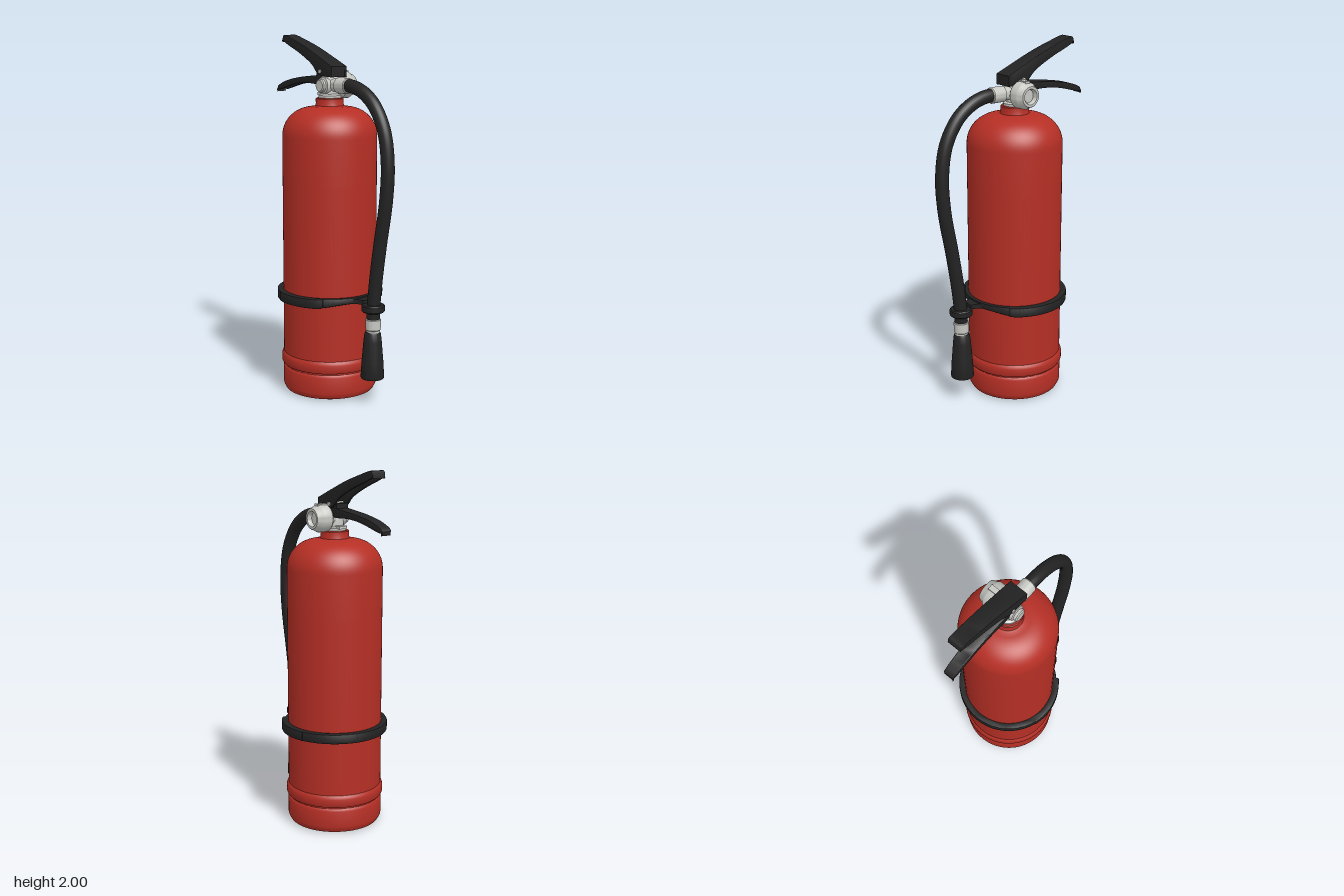
import * as THREE from 'three';
import { mergeGeometries, toCreasedNormals } from 'three/addons/utils/BufferGeometryUtils.js';

const AXIS_Z = -0.035; // bottle axis
const VALVE_Y = 1.73;
const V = (x, y) => new THREE.Vector2(x, y);

const mat = (name, color) => {
  const m = new THREE.MeshStandardMaterial({ color });
  m.name = name;
  return m;
};

// Revolved solid from [radius, height] pairs, bottom to top
const lathe = (pairs, seg = 48) =>
  toCreasedNormals(new THREE.LatheGeometry(pairs.map(([r, y]) => V(r, y)), seg), 0.6);

// Side profile given as [z, y], extruded across x from x0 to x1
function sideSlab(points, x0, x1, bevel = 0) {
  const g = new THREE.ExtrudeGeometry(new THREE.Shape(points), {
    depth: x1 - x0 - 2 * bevel, bevelEnabled: bevel > 0, bevelSize: bevel,
    bevelThickness: bevel, bevelOffset: -bevel, bevelSegments: 2,
  });
  return g.translate(0, 0, -x1 + bevel).rotateY(-Math.PI / 2);
}

// Hollow lever, open below: a curved top plate and two side walls, tapering to the tip
function lever(top, bottom, half, tipHalf, plate) {
  const curve = (p) => new THREE.SplineCurve(p.map(([z, y]) => V(z, y))).getPoints(20);
  const t = curve(top), b = curve(bottom);
  const outline = [...t, ...b];
  const plateOutline = [...t, ...t.map((p) => V(p.x, p.y - plate)).reverse()];
  const g = mergeGeometries([
    sideSlab(plateOutline, -half, half, 0.005),
    sideSlab(outline, -half, -half + 0.014, 0.003),
    sideSlab(outline, half - 0.014, half, 0.003),
  ]);
  const z0 = top[0][0], z1 = top[top.length - 1][0], p = g.attributes.position;
  for (let i = 0; i < p.count; i++) {
    const k = THREE.MathUtils.clamp((p.getZ(i) - z0) / (z1 - z0), 0, 1);
    p.setX(i, p.getX(i) * THREE.MathUtils.lerp(1, tipHalf / half, k));
  }
  return toCreasedNormals(g, 0.5);
}

// Strap around the bottle: thicker side pads, thinner and shallower at the front
function strapGeometry() {
  const rad = THREE.MathUtils.degToRad, s = new THREE.Shape();
  // angles run from +x towards the front (+z)
  [[-18, 44, 0.299], [44, 136, 0.285], [136, 198, 0.299], [198, 342, 0.296]].forEach(([a, b, r]) =>
    s.absarc(0, 0, r, rad(a), rad(b), false));
  s.holes.push(new THREE.Path().absarc(0, 0, 0.26, 0, Math.PI * 2, true));
  const g = new THREE.ExtrudeGeometry(s, {
    depth: 0.045, curveSegments: 32, bevelSize: 0.004, bevelThickness: 0.004,
    bevelOffset: -0.004, bevelSegments: 2,
  }).rotateX(Math.PI / 2);
  const p = g.attributes.position;
  for (let i = 0; i < p.count; i++) {
    const k = THREE.MathUtils.smoothstep(p.getZ(i), 0.17, 0.28);
    if (p.getY(i) < -0.02) p.setY(i, p.getY(i) + 0.02 * k);
  }
  return toCreasedNormals(g, 0.5);
}

export function createModel() {
  const root = new THREE.Group();
  root.name = 'fireExtinguisher';
  const red = mat('red paint', 0xb52f25);
  const black = mat('black rubber', 0x232323);
  const metal = mat('light metal', 0xc6c6c2);

  const add = (name, geo, material, x = 0, y = 0, z = 0) => {
    const m = new THREE.Mesh(geo, material);
    m.name = name;
    m.position.set(x, y, z);
    root.add(m);
    return m;
  };

  // Bottle with base band, domed shoulder and neck
  const dome = [];
  for (let i = 0; i <= 14; i++) {
    const a = (i / 14) * Math.PI / 2;
    dome.push([0.095 + 0.168 * Math.cos(a), 1.455 + 0.16 * Math.sin(a)]);
  }
  add('bottle', lathe([
    [0, 0], [0.232, 0], [0.252, 0.008], [0.264, 0.03], [0.266, 0.04], [0.266, 0.132], [0.262, 0.143],
    [0.257, 0.147], [0.257, 0.154], [0.268, 0.158], [0.274, 0.17], [0.274, 0.205],
    [0.27, 0.217], [0.263, 0.226], [0.263, 0.6], [0.263, 1.2], ...dome,
    [0.08, 1.62], [0.077, 1.63], [0.077, 1.658], [0.072, 1.663], [0, 1.663],
  ], 72), red, 0, 0, AXIS_Z);

  // Strap, its bridge and the hose clip
  add('strap', strapGeometry(), black, 0, 0.586, AXIS_Z);
  const bridge = new THREE.Shape();
  bridge.moveTo(-0.07, 0.235);
  bridge.quadraticCurveTo(-0.035, 0.255, -0.035, 0.3);
  bridge.lineTo(0.035, 0.3);
  bridge.quadraticCurveTo(0.035, 0.255, 0.07, 0.235);
  add('strapBridge', new THREE.ExtrudeGeometry(bridge, { depth: 0.026, bevelEnabled: false })
    .rotateX(Math.PI / 2), black, 0, 0.583, 0);
  add('hoseClip', lathe([
    [0, 0.525], [0.057, 0.525], [0.063, 0.531], [0.063, 0.56], [0.057, 0.566], [0, 0.566],
  ]), black, 0, 0, 0.343);

  // Hose
  const path = new THREE.CatmullRomCurve3([
    [1.735, 0.11], [1.73, 0.17], [1.702, 0.255], [1.635, 0.345], [1.51, 0.42], [1.34, 0.45],
    [1.15, 0.44], [0.9, 0.395], [0.7, 0.363], [0.56, 0.347], [0.48, 0.343],
  ].map(([y, z]) => new THREE.Vector3(0, y, z)));
  add('hose', new THREE.TubeGeometry(path, 90, 0.0365, 20), black);

  // Nozzle and its metal collar
  add('nozzleCollar', lathe([
    [0, 0.405], [0.037, 0.405], [0.037, 0.422], [0.042, 0.427], [0.042, 0.482], [0.039, 0.486], [0, 0.486],
  ]), metal, 0, 0, 0.343);
  add('nozzle', lathe([
    [0, 0.2], [0.045, 0.19], [0.054, 0.15], [0.063, 0.15], [0.065, 0.156], [0.06, 0.24],
    [0.05, 0.36], [0.045, 0.402], [0.039, 0.413], [0, 0.413],
  ]), black, 0, 0, 0.34);

  // Valve body on the neck
  add('valveBase', lathe([
    [0, 1.655], [0.062, 1.655], [0.062, 1.676], [0.048, 1.684], [0.048, 1.77], [0.04, 1.785], [0, 1.785],
  ]), metal, 0, 0, AXIS_Z);
  add('valveCrossTube', lathe([
    [0, -0.078], [0.03, -0.078], [0.036, -0.072], [0.036, -0.058], [0.046, -0.054], [0.046, 0.06], [0, 0.06],
  ]).rotateZ(-Math.PI / 2), metal, 0, VALVE_Y, -0.03);
  add('valveLip', new THREE.BoxGeometry(0.05, 0.016, 0.04), metal, 0, 1.682, -0.092);

  // Hose fitting
  add('hoseFitting', lathe([
    [0, -0.02], [0.036, -0.02], [0.036, 0.045], [0.043, 0.05], [0.043, 0.127], [0.039, 0.132], [0, 0.132],
  ]).rotateX(Math.PI / 2), metal, 0, 1.733, 0);

  // Gauge housing with a recessed face
  add('gauge', lathe([
    [0, 0.04], [0.045, 0.04], [0.068, 0.052], [0.074, 0.06], [0.074, 0.108], [0.07, 0.116],
    [0.066, 0.12], [0.059, 0.142], [0.055, 0.147], [0.042, 0.147], [0.038, 0.142], [0.036, 0.122], [0, 0.122],
  ]).rotateZ(-Math.PI / 2), metal, 0, VALVE_Y, -0.028);
  add('gaugeRib', new THREE.BoxGeometry(0.06, 0.012, 0.03), metal, 0.088, 1.803, -0.03);

  // Operating handle above, carrying handle below
  add('upperHandle', lever(
    [[0.048, 1.835], [-0.06, 1.882], [-0.19, 1.936], [-0.3, 1.973], [-0.39, 2], [-0.412, 1.996], [-0.418, 1.98]],
    [[-0.405, 1.963], [-0.36, 1.943], [-0.25, 1.9], [-0.14, 1.845], [-0.085, 1.795], [-0.03, 1.782], [0.048, 1.777]],
    0.054, 0.04, 0.02), black);
  add('handleFront', new THREE.BoxGeometry(0.1, 0.056, 0.03), black, 0, 1.806, 0.031);
  add('lowerHandle', lever(
    [[-0.03, 1.79], [-0.1, 1.784], [-0.26, 1.768], [-0.39, 1.745], [-0.465, 1.719], [-0.483, 1.705], [-0.482, 1.692]],
    [[-0.465, 1.689], [-0.43, 1.697], [-0.31, 1.727], [-0.2, 1.738], [-0.1, 1.735], [-0.03, 1.745]],
    0.042, 0.03, 0.014), black);
  add('handleBracket', new THREE.BoxGeometry(0.076, 0.07, 0.05), black, 0, 1.775, -0.078);

  // Pivot pin through the handles
  add('pivotPin', new THREE.CylinderGeometry(0.011, 0.011, 0.116, 16).rotateZ(Math.PI / 2), metal, 0, 1.806, -0.055);

  return root;
}
